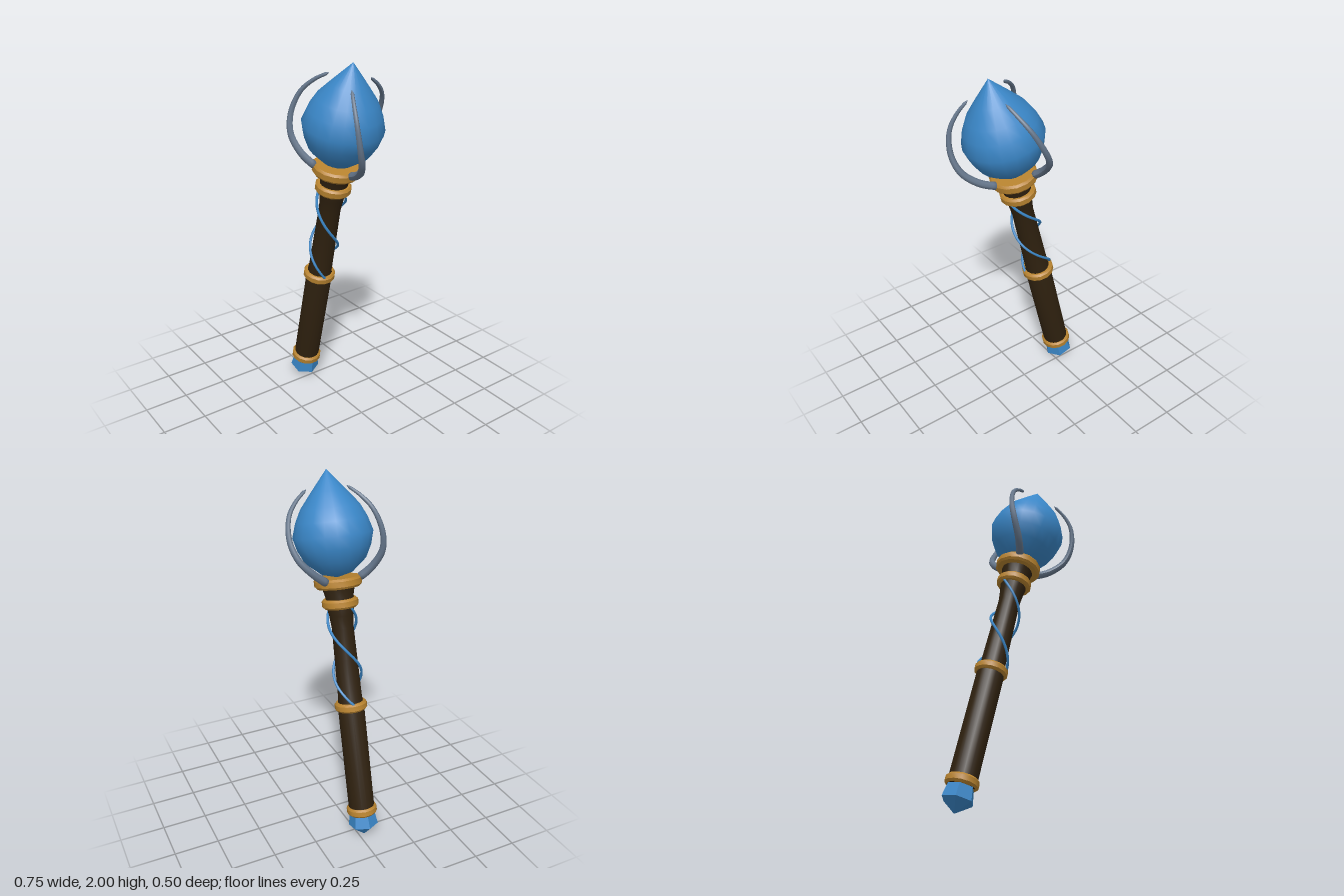
import * as THREE from 'three';
import { toCreasedNormals } from 'three/addons/utils/BufferGeometryUtils.js';

const mat = (name, color) => {
  const m = new THREE.MeshStandardMaterial({ color });
  m.name = name;
  return m;
};

// Solid of revolution from [radius, height] pairs, listed bottom to top
function turned(profile, segments, crease) {
  const points = profile.map(([r, y]) => new THREE.Vector2(r, y));
  return toCreasedNormals(new THREE.LatheGeometry(points, segments), crease);
}

// Tube whose radius shrinks linearly from r0 to r1, with closed ends
function taperedTube(curve, segments, r0, r1, sides) {
  const geo = new THREE.TubeGeometry(curve, segments, 1, sides);
  const pos = geo.attributes.position;
  const v = new THREE.Vector3();
  for (let i = 0; i <= segments; i++) {
    const u = i / segments;
    const centre = curve.getPointAt(u);
    const r = i === 0 || i === segments ? 0.001 : r0 + (r1 - r0) * u;
    for (let j = 0; j <= sides; j++) {
      const k = i * (sides + 1) + j;
      v.fromBufferAttribute(pos, k).sub(centre).multiplyScalar(r).add(centre);
      pos.setXYZ(k, v.x, v.y, v.z);
    }
  }
  geo.computeVertexNormals();
  return geo;
}

export function createModel() {
  const blue = mat('crystalBlue', 0x3a87c8);
  const gold = mat('gold', 0xb8832f);
  const wood = mat('darkWood', 0x2f210f);
  const steel = mat('steel', 0x66778c);

  const model = new THREE.Group();
  model.name = 'staff';
  // Everything is built upright, then leaned towards +x
  const body = new THREE.Group();
  body.name = 'leaningBody';
  body.rotation.z = -0.2415;
  body.position.set(-0.305, 0.01, 0.033);
  model.add(body);
  const add = (name, geo, material) => {
    const mesh = new THREE.Mesh(geo, material);
    mesh.name = name;
    body.add(mesh);
    return mesh;
  };

  // Faceted pommel crystal
  const pommel = add('pommelCrystal',
    turned([[0, -0.01], [0.084, 0.054], [0.07, 0.13], [0, 0.14]], 6, 0.1), blue);
  pommel.rotation.y = Math.PI / 6;

  // Shaft, with a waist below the neck
  add('shaft', turned([[0, 0.125], [0.073, 0.125], [0.073, 0.78], [0.066, 0.82], [0.062, 1.05],
    [0.059, 1.22], [0.066, 1.29], [0.078, 1.35], [0.076, 1.39], [0.09, 1.45], [0, 1.45]], 16, 0.7), wood);

  // Gold bands: [name, height, radius, half thickness]
  for (const [name, y, r, h] of [
    ['lowerBand', 0.149, 0.086, 0.024], ['middleBand', 0.777, 0.09, 0.024],
    ['neckBand', 1.354, 0.098, 0.025], ['collar', 1.467, 0.128, 0.027]]) {
    add(name, turned([[0, y - h], [r - 0.01, y - h], [r, y - h * 0.55], [r, y + h * 0.55],
      [r - 0.01, y + h], [0, y + h]], 14, 0.5), gold);
  }

  // Two vines winding once around the upper shaft
  for (let s = 0; s < 2; s++) {
    const points = [];
    for (let i = 0; i <= 24; i++) {
      const u = i / 24;
      const a = Math.PI * (2 * u + s);
      points.push(new THREE.Vector3(0.077 * Math.cos(a), 0.775 + 0.59 * u, 0.077 * Math.sin(a)));
    }
    add('vine', new THREE.TubeGeometry(new THREE.CatmullRomCurve3(points), 48, 0.0075, 6), blue);
  }

  // Teardrop gem
  add('gem', turned([[0, 1.49], [0.085, 1.515], [0.163, 1.583], [0.196, 1.65], [0.214, 1.72],
    [0.19, 1.795], [0.157, 1.86], [0.095, 1.937], [0, 2.05]], 20, 0.9), blue);

  // Three claws curling round the gem: [radius, height, angle in degrees]
  const claw = [[0.105, 1.475, -6], [0.135, 1.492, -3], [0.196, 1.54, 3], [0.257, 1.62, 11],
    [0.274, 1.72, 18], [0.245, 1.835, 24], [0.19, 1.905, 28], [0.12, 1.96, 33]];
  for (let n = 0; n < 3; n++) {
    const points = claw.map(([r, y, deg]) => {
      const a = THREE.MathUtils.degToRad(deg + n * 120);
      return new THREE.Vector3(r * Math.cos(a), y, r * Math.sin(a));
    });
    add('claw', taperedTube(new THREE.CatmullRomCurve3(points), 32, 0.023, 0.008, 8), steel);
  }
  return model;
}
